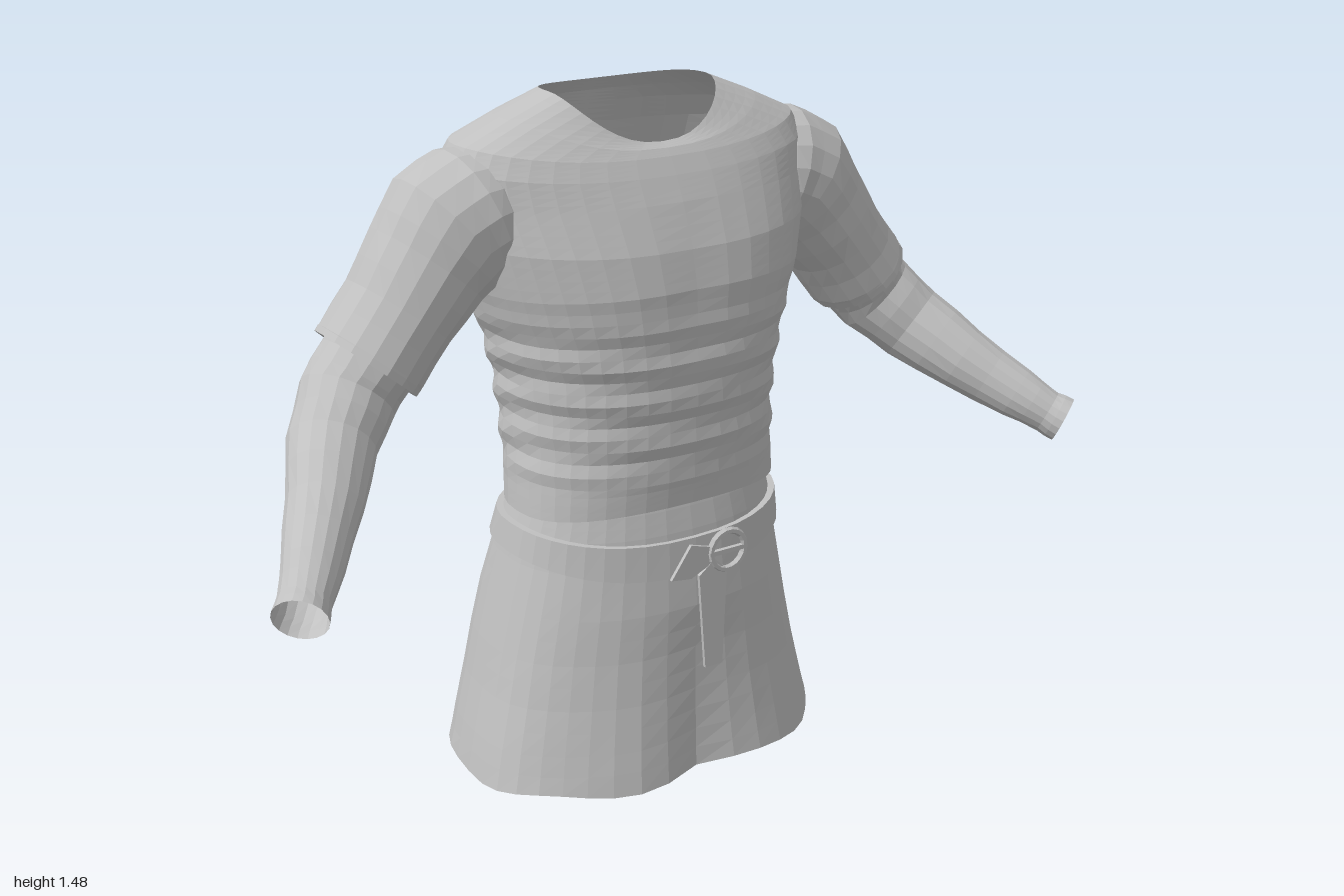
import * as THREE from 'three';

const SEG = 40;

// Skin a list of point rings; flip reverses the faces
function loft(rings, flip = false) {
  const n = rings[0].length, pos = [], idx = [];
  for (const ring of rings) for (const p of ring) pos.push(p.x, p.y, p.z);
  for (let i = 0; i < rings.length - 1; i++) {
    for (let j = 0; j < n; j++) {
      const a = i * n + j, b = i * n + (j + 1) % n, c = a + n, d = b + n;
      if (flip) idx.push(a, b, c, b, d, c);
      else idx.push(a, c, b, b, c, d);
    }
  }
  const g = new THREE.BufferGeometry();
  g.setAttribute('position', new THREE.Float32BufferAttribute(pos, 3));
  g.setIndex(idx);
  g.computeVertexNormals();
  return g;
}

// Insert evenly spaced sections between the key sections
function refine(keys, k) {
  const out = [];
  for (let i = 0; i < keys.length - 1; i++)
    for (let s = 0; s < k; s++)
      out.push(keys[i].map((v, q) => v + (keys[i + 1][q] - v) * s / k));
  out.push(keys[keys.length - 1]);
  return out;
}

// Body section: [ySide, yFront, yBack, halfWidth, zFront, zBack, backGroove, frontGroove]
function bodyRing([ys, yf, yb, hw, zf, zb, gb = 0, gf = 0], wrinkle = () => 0) {
  const ring = [], mid = (zf + zb) / 2, half = (zf - zb) / 2, e = 2 / 2.35;
  for (let j = 0; j < SEG; j++) {
    const t = j / SEG * Math.PI * 2, c = Math.cos(t), s = Math.sin(t);
    const y = ys * c * c + (s > 0 ? yf : yb) * s * s;
    const k = 1 + wrinkle(t, y);
    const x = hw * k * Math.sign(c) * Math.abs(c) ** e;
    let z = mid + half * k * Math.sign(s) * Math.abs(s) ** e;
    const dip = Math.exp(-((x / 0.08) ** 2));
    z += s < 0 ? gb * dip : -gf * dip * s;
    ring.push(new THREE.Vector3(x, y, z));
  }
  return ring;
}

// Sleeve section: [x, y, z, radius across, radius in depth]
function sleeve(keys, side, crease) {
  const n = 18, zAxis = new THREE.Vector3(0, 0, 1);
  const pts = keys.map(k => new THREE.Vector3(k[0], k[1], k[2]));
  const rings = keys.map((k, i) => {
    const t = pts[Math.min(i + 1, pts.length - 1)].clone().sub(pts[Math.max(i - 1, 0)]).normalize();
    const u = new THREE.Vector3().crossVectors(zAxis, t).normalize();
    const v = new THREE.Vector3().crossVectors(u, t);
    return Array.from({ length: n }, (_, j) => {
      const a = j / n * Math.PI * 2;
      const w = 1 + crease * Math.sin(i * 2.1 + 2 * Math.sin(a));
      const p = pts[i].clone().addScaledVector(u, Math.cos(a) * k[3] * w)
        .addScaledVector(v, Math.sin(a) * k[4] * w);
      p.x *= side;
      return p;
    });
  });
  return loft(rings, side < 0);
}

export function createModel() {
  const group = new THREE.Group();
  const cloth = new THREE.MeshStandardMaterial({ color: 0xc0c0c0, flatShading: true, side: THREE.DoubleSide });
  cloth.name = 'light grey cloth';
  const add = (name, geometry) => {
    const m = new THREE.Mesh(geometry, cloth);
    m.name = name;
    group.add(m);
    return m;
  };

  // Blouse, from the tucked hem up to the neckline
  const torso = [
    [0.63, 0.645, 0.64, 0.285, 0.165, -0.215, 0.01, 0],
    [0.612, 0.632, 0.622, 0.31, 0.182, -0.232, 0.01, 0],
    [0.69, 0.69, 0.69, 0.305, 0.186, -0.245, 0.015, 0],
    [0.8, 0.8, 0.8, 0.305, 0.19, -0.27, 0.02, 0],
    [0.9, 0.9, 0.9, 0.315, 0.197, -0.285, 0.025, 0],
    [1.0, 1.0, 1.0, 0.34, 0.2, -0.297, 0.03, 0.005],
    [1.1, 1.1, 1.1, 0.375, 0.198, -0.302, 0.035, 0.008],
    [1.2, 1.18, 1.2, 0.4, 0.178, -0.302, 0.035, 0.005],
    [1.28, 1.27, 1.28, 0.42, 0.137, -0.296, 0.03, 0],
    [1.35, 1.32, 1.36, 0.425, 0.112, -0.268, 0.02, 0],
    [1.395, 1.355, 1.41, 0.4, 0.092, -0.242, 0.01, 0],
    [1.44, 1.37, 1.44, 0.3, 0.08, -0.222, 0, 0],
    [1.482, 1.38, 1.47, 0.193, 0.062, -0.195, 0, 0],
  ];
  const folds = (t, y) => {
    const fade = THREE.MathUtils.smoothstep(y, 0.66, 0.74) * (1 - THREE.MathUtils.smoothstep(y, 0.95, 1.12));
    return 0.017 * fade * Math.sin(y * 75 + 2.2 * Math.sin(2 * t) + Math.cos(3 * t));
  };
  add('blouse', loft([...torso.slice(0, 2), ...refine(torso.slice(1), 4).slice(1)].map(k => bodyRing(k, folds))));

  // Skirt, from the wavy hem up into the blouse
  const skirt = [
    [0.012, 0.008, 0.006, 0.435, 0.24, -0.35, 0.045, 0.035],
    [0.1, 0.1, 0.1, 0.415, 0.226, -0.343, 0.045, 0.025],
    [0.2, 0.2, 0.2, 0.39, 0.213, -0.336, 0.04, 0.015],
    [0.3, 0.3, 0.3, 0.368, 0.204, -0.329, 0.03, 0.008],
    [0.4, 0.4, 0.4, 0.345, 0.2, -0.317, 0.02, 0],
    [0.5, 0.5, 0.5, 0.322, 0.19, -0.287, 0.01, 0],
    [0.57, 0.57, 0.57, 0.308, 0.18, -0.256, 0, 0],
    [0.62, 0.62, 0.62, 0.294, 0.17, -0.226, 0, 0],
    [0.66, 0.66, 0.66, 0.285, 0.16, -0.21, 0, 0],
  ];
  const drape = (t, y) => 0.012 * Math.max(0, 1 - y / 0.5) * Math.sin(7 * t + 1);
  const skirtRings = refine(skirt, 2).map(k => bodyRing(k, drape));
  skirtRings[0].forEach((p, j) => { p.y += 0.006 * Math.sin(j * 0.9); });
  add('skirt', loft(skirtRings));

  // Belt wrapped around the hips, lower at the front
  add('belt', loft([
    [0.52, 0.475, 0.525, 0.315, 0.185, -0.27],
    [0.52, 0.475, 0.525, 0.33, 0.199, -0.287],
    [0.582, 0.555, 0.587, 0.32, 0.193, -0.262],
    [0.582, 0.555, 0.587, 0.3, 0.175, -0.24],
  ].map(k => bodyRing(k))));

  // Ring buckle with its pin
  const buckle = add('buckleRing', new THREE.TorusGeometry(0.044, 0.008, 6, 18));
  buckle.position.set(0.075, 0.513, 0.204);
  const pin = add('bucklePin', new THREE.BoxGeometry(0.09, 0.01, 0.01));
  pin.position.set(0.07, 0.513, 0.206);

  // Hanging strap end and the small folded tab beside the buckle
  const plate = (name, pts, z, tilt) => {
    const shape = new THREE.Shape(pts.map(p => new THREE.Vector2(...p)));
    const m = add(name, new THREE.ExtrudeGeometry(shape, { depth: 0.008, bevelEnabled: false }));
    m.position.z = z;
    m.rotation.x = tilt;
  };
  plate('strapEnd', [[0.015, 0.25], [0.06, 0.25], [0.072, 0.47], [0.04, 0.5], [0, 0.47]], 0.209, -0.02);
  plate('strapTab', [[-0.07, 0.475], [-0.02, 0.468], [0.03, 0.49], [0.03, 0.53], [-0.02, 0.545], [-0.045, 0.51]], 0.198, 0);

  // Short outer sleeves with a turned cuff, and long inner sleeves
  const outer = [
    [0.33, 1.26, -0.075, 0.13, 0.13],
    [0.375, 1.25, -0.072, 0.15, 0.142],
    [0.425, 1.225, -0.07, 0.152, 0.14],
    [0.478, 1.165, -0.068, 0.133, 0.135],
    [0.545, 1.082, -0.066, 0.117, 0.13],
    [0.61, 1.0, -0.064, 0.116, 0.13],
    [0.622, 0.986, -0.064, 0.114, 0.13],
  ];
  const cuff = [
    [0.612, 0.998, -0.064, 0.117, 0.131],
    [0.622, 0.986, -0.064, 0.116, 0.131],
    [0.618, 0.991, -0.064, 0.098, 0.112],
  ];
  const inner = [
    [0.57, 1.05, -0.066, 0.096, 0.11],
    [0.62, 0.985, -0.064, 0.098, 0.108],
    [0.672, 0.925, -0.052, 0.098, 0.1],
    [0.735, 0.858, 0.01, 0.09, 0.088],
    [0.805, 0.785, 0.115, 0.076, 0.074],
    [0.88, 0.718, 0.22, 0.06, 0.06],
    [0.925, 0.68, 0.28, 0.05, 0.052],
    [0.948, 0.664, 0.308, 0.054, 0.055],
  ];
  for (const [side, label] of [[1, 'left'], [-1, 'right']]) {
    add(label + 'ShortSleeve', sleeve(refine(outer, 2), side, 0.008));
    add(label + 'SleeveCuff', sleeve(cuff, side, 0));
    add(label + 'LongSleeve', sleeve(refine(inner, 2), side, 0.02));
  }
  return group;
}
